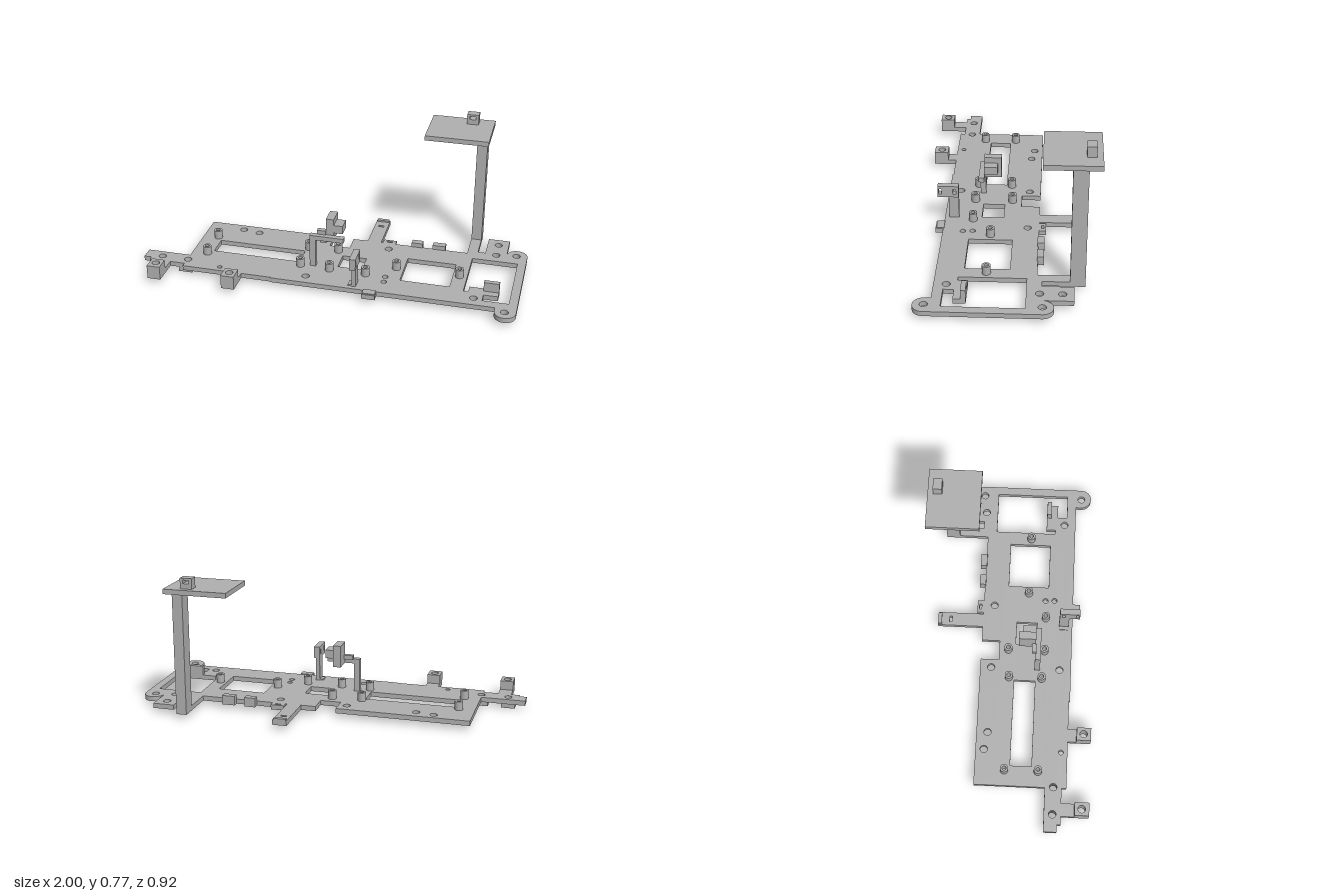
import * as THREE from 'three';

const TOP = 0.053, BOTTOM = 0.027;

export function createModel() {
  const model = new THREE.Group();
  model.name = 'chassis';
  const grey = new THREE.MeshStandardMaterial({ color: 0xb0b0b0 });
  grey.name = 'grey plastic';

  const add = (name, geometry) => {
    const mesh = new THREE.Mesh(geometry, grey);
    mesh.name = name;
    model.add(mesh);
    return mesh;
  };
  // Box given by its limits on each axis
  const box = (name, x0, x1, y0, y1, z0, z1) =>
    add(name, new THREE.BoxGeometry(x1 - x0, y1 - y0, z1 - z0)
      .translate((x0 + x1) / 2, (y0 + y1) / 2, (z0 + z1) / 2));
  const polygon = pts => pts.map(([x, z]) => new THREE.Vector2(x, z));
  const rect = (x0, x1, z0, z1) => [[x0, z0], [x1, z0], [x1, z1], [x0, z1]];
  const cut = (shape, pts) => shape.holes.push(new THREE.Path(polygon(pts)));
  const drill = (shape, x, z, r = 0.02) =>
    shape.holes.push(new THREE.Path().absarc(x, z, r, 0, Math.PI * 2, true));
  // Shape drawn in x and z, extruded between two heights
  const slab = (name, shape, y0, y1) =>
    add(name, new THREE.ExtrudeGeometry(shape, { depth: y1 - y0, bevelEnabled: false, curveSegments: 12 })
      .rotateX(Math.PI / 2).translate(0, y1, 0));

  // Base plate with side arms, tabs and two round ears
  const plate = new THREE.Shape(polygon([
    [-0.765, -0.16], [-0.06, -0.16], [-0.06, -0.06], [0.05, -0.06], [0.05, -0.16],
    [0.13, -0.16], [0.13, -0.41], [0.205, -0.41], [0.205, -0.16],
    [0.215, -0.16], [0.215, -0.195], [0.285, -0.195], [0.285, -0.16],
    [0.68, -0.16], [0.68, -0.395], [0.735, -0.395], [0.735, -0.185],
    [0.775, -0.185], [0.775, -0.34], [0.89, -0.34], [0.89, -0.19],
  ]));
  plate.absarc(0.945, -0.19, 0.055, Math.PI, Math.PI * 2, false);
  plate.lineTo(1, 0.37);
  plate.absarc(0.945, 0.37, 0.055, 0, Math.PI, false);
  [
    [0.89, 0.34], [0.285, 0.34], [0.285, 0.38], [0.215, 0.38], [0.215, 0.34],
    [-0.28, 0.34], [-0.28, 0.335], [-0.44, 0.335], [-0.44, 0.38], [-0.51, 0.38], [-0.51, 0.335],
    [-0.765, 0.335], [-0.765, 0.31], [-0.845, 0.31], [-0.845, 0.38], [-0.915, 0.38], [-0.915, 0.31],
    [-0.96, 0.31], [-0.96, 0.29], [-1, 0.29], [-1, 0.22], [-0.765, 0.22],
  ].forEach(([x, z]) => plate.lineTo(x, z));

  // Large windows
  cut(plate, rect(-0.655, -0.175, 0.03, 0.145));
  cut(plate, rect(0.035, 0.165, 0.03, 0.145));
  cut(plate, rect(0.38, 0.64, -0.025, 0.2));
  cut(plate, [[0.715, -0.11], [0.955, -0.11], [0.955, 0.29], [0.82, 0.29],
    [0.82, 0.235], [0.74, 0.235], [0.74, 0.225], [0.715, 0.225]]);

  // Screw holes
  [[-0.57, -0.115], [-0.475, -0.1], [-0.105, -0.1], [0.26, -0.1], [0.835, -0.285], [0.835, -0.175],
    [0.942, -0.19], [0.942, 0.37], [-0.105, 0.277], [-0.905, 0.265], [-0.76, 0.265], [0.775, 0.277],
  ].forEach(([x, z]) => drill(plate, x, z));
  drill(plate, -0.57, 0.3, 0.013);
  drill(plate, 0.3, 0.185, 0.015);
  drill(plate, 0.303, 0.235, 0.015);
  cut(plate, rect(0.152, 0.183, -0.347, -0.333));
  for (const z of [-0.178, 0.35]) cut(plate, rect(0.235, 0.265, z - 0.006, z + 0.006));

  // Hollow standoffs
  const standoffs = [[-0.68, 0], [-0.68, 0.18], [-0.16, 0], [-0.16, 0.18], [0, -0.01],
    [0, 0.19], [0.195, 0.19], [0.34, 0.09], [0.675, 0.09]];
  for (const [x, z] of standoffs) {
    drill(plate, x, z, 0.011);
    const ring = new THREE.Shape().absarc(x, z, 0.022, 0, Math.PI * 2, false);
    drill(ring, x, z, 0.011);
    slab('standoff', ring, TOP, 0.1);
  }
  slab('basePlate', plate, BOTTOM, TOP);

  // Raised mounting blocks on the front tabs
  for (const x of [-0.88, -0.475]) {
    const block = new THREE.Shape(polygon(rect(x - 0.035, x + 0.035, 0.38, 0.457)));
    drill(block, x, 0.417);
    slab('mountingBlock', block, BOTTOM, 0.102);
  }
  // Feet under the side arm
  for (const x of [-0.907, -0.762]) {
    const foot = new THREE.Shape(polygon(rect(x - 0.037, x + 0.037, 0.235, 0.308)));
    drill(foot, x, 0.265);
    slab('foot', foot, 0, BOTTOM);
  }

  // Small cable stops along the rear edge, and lips on the tabs
  box('cableStop', 0.375, 0.435, BOTTOM, 0.077, -0.19, -0.155);
  box('cableStop', 0.49, 0.56, BOTTOM, 0.077, -0.19, -0.155);
  box('armLip', 0.135, 0.2, TOP, 0.062, -0.41, -0.39);
  box('tabLip', 0.217, 0.283, TOP, 0.058, 0.335, 0.375);

  // Tall mast and platform
  box('mast', 0.68, 0.735, TOP, 0.685, -0.395, -0.32);
  box('platform', 0.42, 0.755, 0.685, 0.711, -0.46, -0.18);
  const eyelet = new THREE.Shape(polygon(rect(0.61, 0.673, 0.711, 0.766)));
  cut(eyelet, rect(0.625, 0.658, 0.738, 0.756));
  add('platformEyelet', new THREE.ExtrudeGeometry(eyelet, { depth: 0.047, bevelEnabled: false })
    .translate(0, 0, -0.43));

  // Central gantry
  box('gantryPost', -0.112, -0.08, TOP, 0.21, 0.138, 0.168);
  box('gantryBeam', -0.112, 0.07, 0.21, 0.235, 0.138, 0.168);
  box('gantryHead', -0.03, 0.012, 0.21, 0.328, 0.048, 0.14);
  box('gantryCheek', 0.012, 0.06, 0.25, 0.295, 0.068, 0.14);
  box('gantryLug', -0.078, -0.03, 0.235, 0.258, 0.12, 0.145);

  // Front sensor bracket: upright with a slotted head facing sideways
  box('bracketStem', 0.15, 0.172, TOP, 0.182, 0.265, 0.318);
  const head = new THREE.Shape(polygon([[-0.375, 0.182], [-0.275, 0.182], [-0.265, 0.182],
    [-0.265, 0.246], [-0.375, 0.246]]));
  for (const z of [-0.362, -0.287]) cut(head, rect(z - 0.008, z + 0.008, 0.2, 0.229));
  add('bracketHead', new THREE.ExtrudeGeometry(head, { depth: 0.033, bevelEnabled: false })
    .rotateY(Math.PI / 2).translate(0.15, 0, 0));
  box('bracketFoot', 0.13, 0.15, TOP, 0.06, 0.27, 0.315);

  // Upright tab in the end window
  box('windowLedge', 0.74, 0.895, BOTTOM, TOP, 0.175, 0.237);
  box('windowTab', 0.815, 0.895, TOP, 0.104, 0.175, 0.2);

  return model;
}
